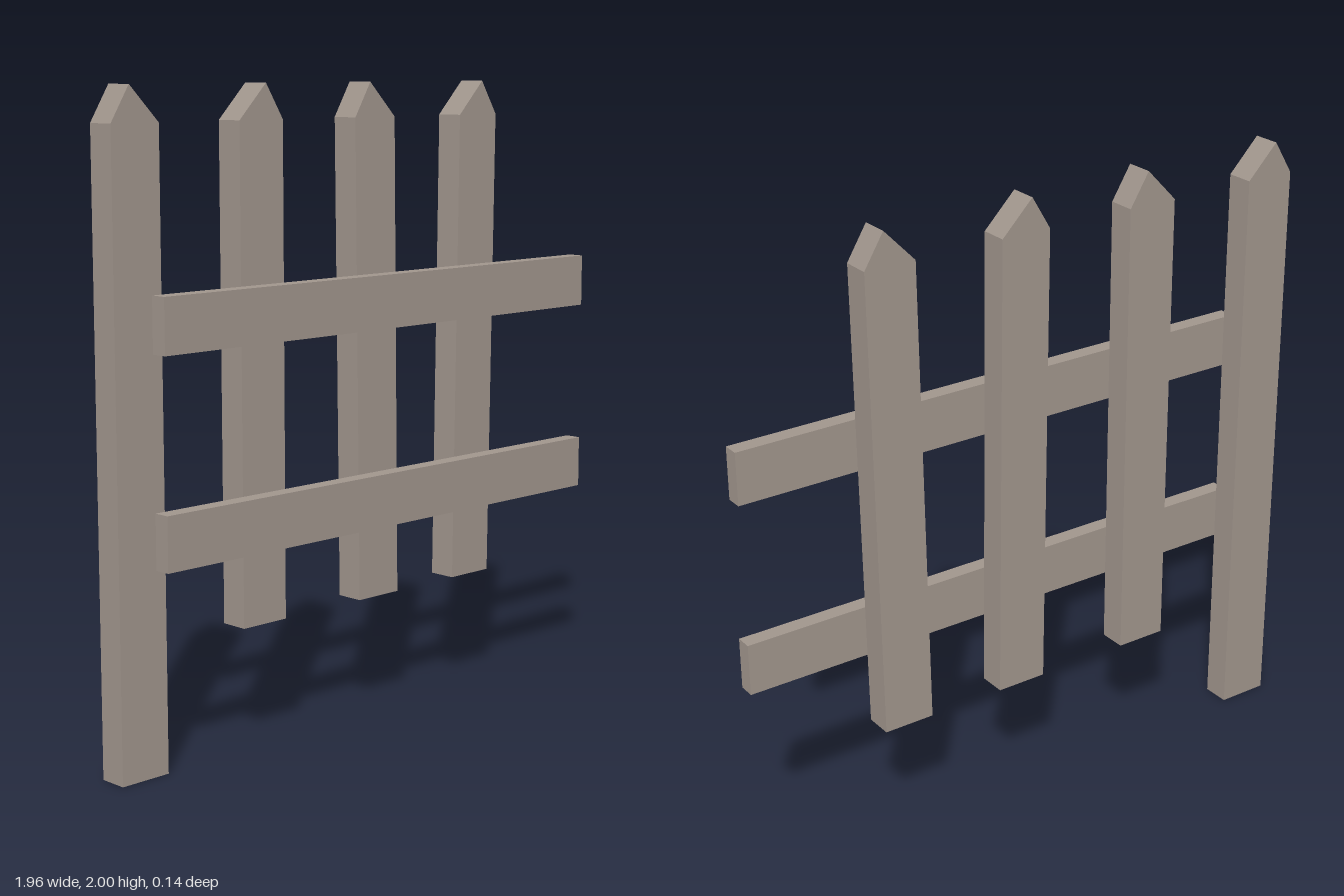
import * as THREE from 'three';

const BACK = -0.072, MID = 0.019, FRONT = 0.072; // pickets sit behind the rails

export function createModel() {
  const group = new THREE.Group();
  group.name = 'picketFence';
  const wood = new THREE.MeshStandardMaterial({ color: 0xa0958c });
  wood.name = 'weathered wood';

  // Pointed board: bottom left x, top left x, tip x, bottom y
  const WIDTH = 0.17, SHOULDER = 1.893, TIP = 2;
  function addPicket(name, bottomX, topX, tipX, bottomY) {
    const shape = new THREE.Shape([
      [bottomX, bottomY], [bottomX + WIDTH, bottomY],
      [topX + WIDTH, SHOULDER], [tipX, TIP], [topX, SHOULDER],
    ].map(([x, y]) => new THREE.Vector2(x, y)));
    const geometry = new THREE.ExtrudeGeometry(shape, { depth: MID - BACK, bevelEnabled: false });
    geometry.translate(0, 0, BACK);
    const mesh = new THREE.Mesh(geometry, wood);
    mesh.name = name;
    group.add(mesh);
  }

  // Long end post, one straight picket and two slightly leaning ones
  addPicket('endPost', -0.983, -0.983, -0.917, 0);
  addPicket('straightPicket', -0.514, -0.514, -0.41, 0.38);
  addPicket('leftLeaningPicket', -0.027, -0.045, 0.019, 0.38);
  addPicket('rightLeaningPicket', 0.401, 0.423, 0.527, 0.38);

  // Horizontal rails across the front
  const x0 = -0.847, x1 = 0.981;
  for (const [name, y] of [['lowerRail', 0.7], ['upperRail', 1.327]]) {
    const rail = new THREE.Mesh(new THREE.BoxGeometry(x1 - x0, 0.168, FRONT - MID), wood);
    rail.position.set((x0 + x1) / 2, y, (MID + FRONT) / 2);
    rail.name = name;
    group.add(rail);
  }
  return group;
}
